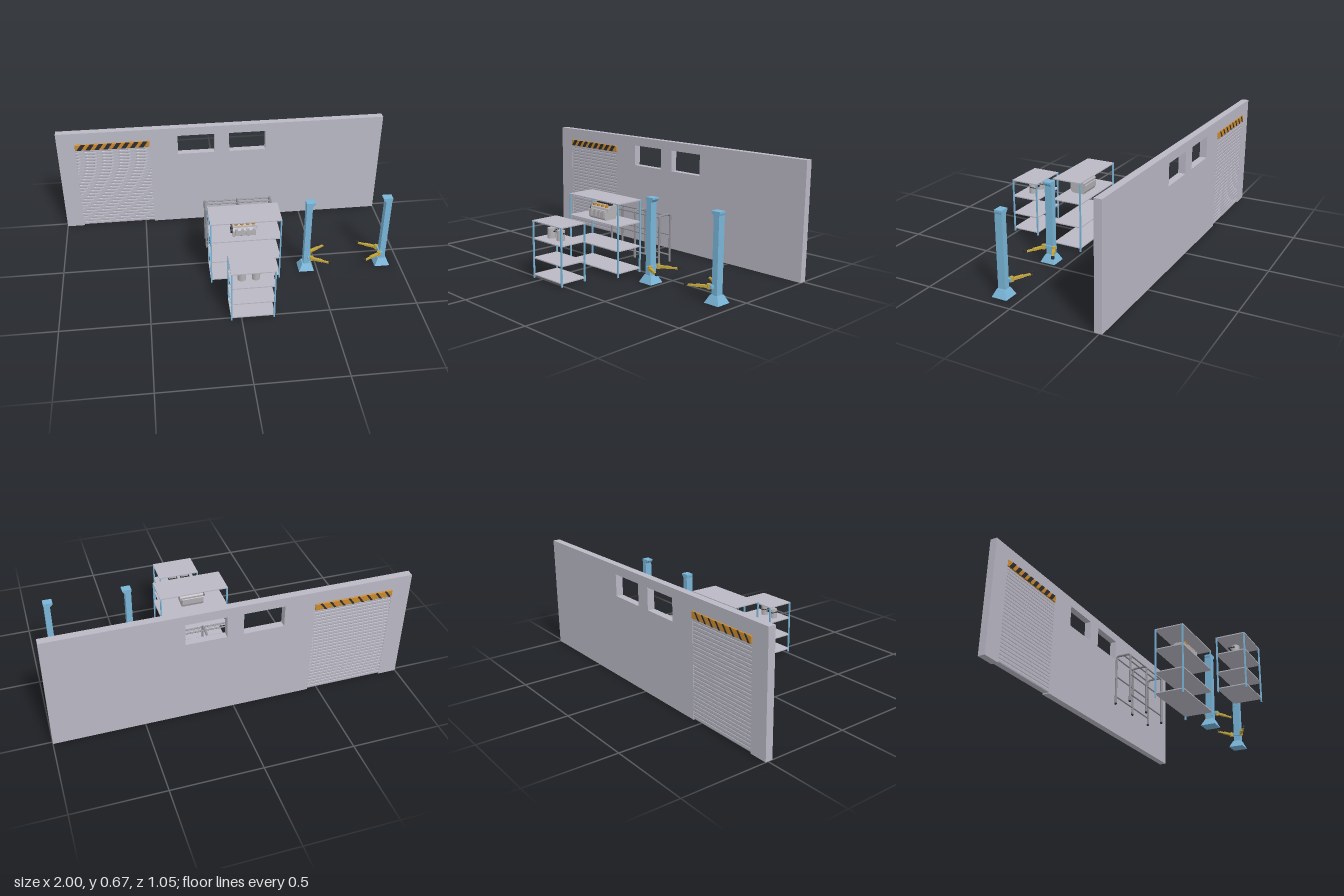
import * as THREE from 'three';
import { RoundedBoxGeometry } from 'three/addons/geometries/RoundedBoxGeometry.js';

const mat = (name, color) => {
  const m = new THREE.MeshStandardMaterial({ color });
  m.name = name;
  return m;
};
const M = {
  grey: mat('wall grey', 0xb9b8c4),
  blue: mat('lift blue', 0x79b5d8),
  yellow: mat('arm yellow', 0xc2a53c),
  orange: mat('hazard orange', 0xc8892f),
  dark: mat('rubber black', 0x2d2d31),
  metal: mat('cast metal', 0xb4b2b6),
  tube: mat('tube grey', 0x8f8f96),
};

function add(parent, name, geo, material, x = 0, y = 0, z = 0) {
  const m = new THREE.Mesh(geo, material);
  m.name = name;
  m.position.set(x, y, z);
  parent.add(m);
  return m;
}
const box = (p, name, material, w, h, d, x, y, z) =>
  add(p, name, new THREE.BoxGeometry(w, h, d), material, x, y, z);
const cyl = (p, name, material, r0, r1, h, x, y, z, n = 20) =>
  add(p, name, new THREE.CylinderGeometry(r0, r1, h, n), material, x, y, z);
const group = (parent, name, x = 0, y = 0, z = 0) => {
  const g = new THREE.Group();
  g.name = name;
  g.position.set(x, y, z);
  parent.add(g);
  return g;
};
const poly = (pts) => new THREE.Shape(pts.map(([x, y]) => new THREE.Vector2(x, y)));
const extrude = (shape, depth) =>
  new THREE.ExtrudeGeometry(shape, { depth, bevelEnabled: false }).translate(0, 0, -depth / 2);

// Wall with a door notch and two window openings
const DOOR = { x0: -0.893, x1: -0.444, top: 0.56 };
const WALL_Z = -0.494;
function buildWall(root) {
  const g = group(root, 'wallAssembly', 0, 0, WALL_Z);
  const { x0, x1, top } = DOOR;
  const shape = poly([[-1, 0], [x0, 0], [x0, top], [x1, top], [x1, 0], [1, 0], [1, 0.67], [-1, 0.67]]);
  for (const [a, b] of [[-0.273, -0.047], [0.043, 0.268]]) {
    shape.holes.push(poly([[a, 0.49], [a, 0.617], [b, 0.617], [b, 0.49]]));
  }
  add(g, 'wall', extrude(shape, 0.042), M.grey);

  // Rolling door made of shallow slats, cross-section swept along x
  const slats = 26, h = (top - 0.006) / slats, half = 0.0195;
  const right = [], left = [];
  for (let i = 0; i < slats; i++) {
    const y = 0.006 + i * h;
    right.push([half - 0.002, y], [half, y + h * 0.25], [half, y + h * 0.85]);
    left.push([-half + 0.002, y], [-half, y + h * 0.25], [-half, y + h * 0.85]);
  }
  const section = poly([...right, [half - 0.002, top], [-half + 0.002, top], ...left.reverse()]);
  const door = extrude(section, x1 - x0).rotateY(Math.PI / 2);
  add(g, 'rollingDoor', door, M.grey, (x0 + x1) / 2);

  // Hazard board above the door, striped front and back
  const cx = (x0 + x1) / 2, cy = 0.576, bw = x1 - x0, bh = 0.04, bd = 0.056;
  add(g, 'hazardBoard', new RoundedBoxGeometry(bw, bh, bd, 2, 0.004), M.orange, cx, cy, 0);
  for (const side of [1, -1]) {
    const w = side > 0 ? 0.028 : 0.013;
    for (let i = 0; i < 8; i++) {
      const x = x0 + 0.008 + i * 0.0535;
      const stripe = poly([[x, -0.019], [x + w, -0.019], [x + w + 0.028, 0.019], [x + 0.028, 0.019]]);
      add(g, 'hazardStripe', extrude(stripe, 0.003), M.dark, 0, cy, side * (bd / 2 + 0.0003));
    }
  }
}

// Column lift with a pair of arms reaching toward +x
function buildLift(root, name, x, turn) {
  const g = group(root, name, x, 0, 0.105);
  g.rotation.y = turn;
  const base = new THREE.CylinderGeometry(0.0245 * Math.SQRT2, 0.045 * Math.SQRT2, 0.043, 4, 1)
    .rotateY(Math.PI / 4).toNonIndexed();
  base.computeVertexNormals();
  add(g, 'liftBase', base, M.blue, 0, 0.0215, 0);
  const post = poly([[-0.017, 0.03], [0.017, 0.03], [0.017, 0.445], [0.033, 0.462], [0.033, 0.471],
    [-0.02, 0.471], [-0.02, 0.46], [-0.017, 0.45]]);
  add(g, 'liftColumn', extrude(post, 0.044), M.blue);
  box(g, 'liftCarriage', M.blue, 0.022, 0.018, 0.078, 0.014, 0.088, 0);
  const bar = (name, a, b, w, h, y) => {
    const dx = b[0] - a[0], dz = b[1] - a[1];
    const m = box(g, name, M.yellow, Math.hypot(dx, dz), h, w, (a[0] + b[0]) / 2, y, (a[1] + b[1]) / 2);
    m.rotation.y = -Math.atan2(dz, dx);
  };
  for (const s of [1, -1]) {
    cyl(g, 'armPivot', M.yellow, 0.011, 0.011, 0.026, 0.026, 0.088, s * 0.033, 12);
    bar('armInner', [0.026, s * 0.033], [0.085, s * 0.064], 0.016, 0.013, 0.087);
    bar('armOuter', [0.075, s * 0.059], [0.128, s * 0.088], 0.011, 0.009, 0.086);
    cyl(g, 'armPad', M.dark, 0.01, 0.01, 0.012, 0.128, 0.09, s * 0.088, 12);
  }
}

// Open shelving unit: four posts and a stack of thin boards
function buildShelf(root, name, x0, x1, z0, z1, levels) {
  const g = group(root, name);
  const p = 0.008, top = levels[0];
  for (const x of [x0 + p / 2, x1 - p / 2]) for (const z of [z0 + p / 2, z1 - p / 2]) {
    box(g, 'shelfPost', M.blue, p, top - 0.002, p, x, (top - 0.002) / 2, z);
  }
  for (const y of levels) {
    box(g, 'shelfBoard', M.grey, x1 - x0, 0.006, z1 - z0, (x0 + x1) / 2, y - 0.003, (z0 + z1) / 2);
  }
}

// Tubular rack: three arches joined by long rails
function buildRack(root) {
  const g = group(root, 'tubeRack', 0.063, 0, -0.187);
  const r = 0.0065, hz = 0.045, top = 0.297, bend = 0.016;
  const V = (y, z) => new THREE.Vector3(0, y, z);
  const path = new THREE.CurvePath();
  path.add(new THREE.LineCurve3(V(0.01, hz), V(top - bend, hz)));
  path.add(new THREE.QuadraticBezierCurve3(V(top - bend, hz), V(top, hz), V(top, hz - bend)));
  path.add(new THREE.LineCurve3(V(top, hz - bend), V(top, bend - hz)));
  path.add(new THREE.QuadraticBezierCurve3(V(top, bend - hz), V(top, -hz), V(top - bend, -hz)));
  path.add(new THREE.LineCurve3(V(top - bend, -hz), V(0.01, -hz)));
  const arch = new THREE.TubeGeometry(path, 90, r, 10);
  for (const x of [-0.198, 0, 0.198]) {
    add(g, 'rackArch', arch, M.tube, x);
    for (const s of [1, -1]) add(g, 'rackFoot', new THREE.SphereGeometry(0.0075, 12, 8), M.dark, x, 0.0075, s * hz);
  }
  const rail = (y, z) => {
    cyl(g, 'rackRail', M.tube, 0.0045, 0.0045, 0.396, 0, y, z, 10).rotation.z = Math.PI / 2;
  };
  rail(top, 0);
  for (const s of [1, -1]) for (const y of [top - 0.01, 0.172, 0.05]) rail(y, s * hz);
}

// Engine resting on the large shelf
function buildEngine(root) {
  const g = group(root, 'engine', 0.058, 0.29, 0.11);
  const along = (pts, len) => extrude(poly(pts), len).rotateY(Math.PI / 2);
  add(g, 'engineBlock', along([[-0.03, 0], [0.035, 0], [0.045, 0.02], [0.048, 0.055], [0.03, 0.07],
    [-0.02, 0.07], [-0.047, 0.048], [-0.047, 0.014]], 0.13), M.metal);
  add(g, 'engineHead', along([[-0.035, 0.05], [0.042, 0.05], [0.046, 0.07], [0.032, 0.084],
    [-0.005, 0.084], [-0.03, 0.07]], 0.142), M.metal, 0.006);
  for (let i = 0; i < 4; i++) {
    const x = -0.045 + i * 0.033;
    box(g, 'engineRib', M.metal, 0.016, 0.04, 0.012, x, 0.04, 0.046);
    cyl(g, 'engineCap', M.orange, 0.011, 0.011, 0.012, x, 0.08, 0.02, 12);
  }
  box(g, 'engineRail', M.dark, 0.12, 0.006, 0.012, 0.005, 0.087, -0.012);
  cyl(g, 'oilCap', M.dark, 0.009, 0.009, 0.014, 0.06, 0.09, 0, 12);
  for (const [y, z, r] of [[0.025, 0, 0.018], [0.058, -0.022, 0.011], [0.058, 0.02, 0.011]]) {
    cyl(g, 'enginePulley', M.dark, r, r, 0.01, -0.069, y, z, 16).rotation.z = Math.PI / 2;
  }
}

// Paint cans with a short dark grip
function buildCans(root) {
  for (const x of [0.007, 0.085]) {
    const g = group(root, 'can', x, 0.225, 0.443);
    cyl(g, 'canBody', M.metal, 0.023, 0.023, 0.056, 0, 0.028, 0, 24);
    cyl(g, 'canLid', M.metal, 0.02, 0.02, 0.004, 0, 0.0565, 0, 24);
    for (const s of [1, -1]) {
      cyl(g, 'canPin', M.dark, 0.004, 0.004, 0.006, s * 0.025, 0.042, 0, 10).rotation.z = Math.PI / 2;
      box(g, 'canGrip', M.dark, 0.003, 0.004, 0.032, s * 0.026, 0.042, -0.015);
    }
    box(g, 'canGripBar', M.dark, 0.055, 0.004, 0.004, 0, 0.042, -0.031);
  }
}

export function createModel() {
  const root = new THREE.Group();
  root.name = 'workshop';
  buildWall(root);
  buildLift(root, 'rightLift', 0.435, 0);
  buildLift(root, 'leftLift', 0.895, Math.PI);
  buildShelf(root, 'largeShelf', -0.14, 0.267, 0.013, 0.19, [0.417, 0.293, 0.153, 0.027]);
  buildShelf(root, 'smallShelf', -0.06, 0.185, 0.353, 0.522, [0.326, 0.227, 0.118, 0.023]);
  buildRack(root);
  buildEngine(root);
  buildCans(root);
  return root;
}
